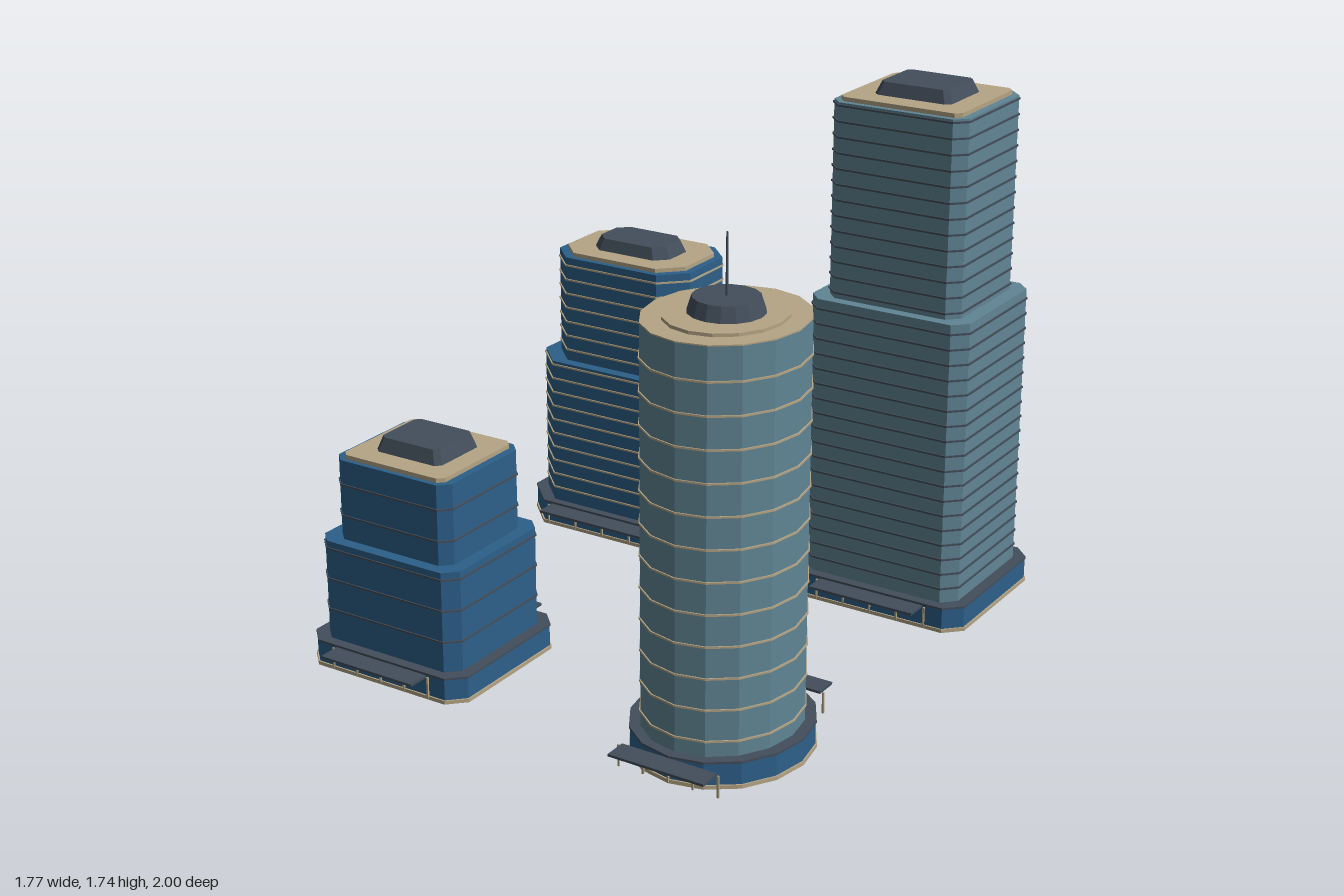
import * as THREE from 'three';

const mat = (name, color) => {
  const m = new THREE.MeshStandardMaterial({ color });
  m.name = name;
  return m;
};

// Outline of a rectangle with cut corners, given half sizes
function cutRect(w, d, c) {
  return [[w, -d + c], [w, d - c], [w - c, d], [-w + c, d], [-w, d - c], [-w, -d + c], [-w + c, -d], [w - c, -d]];
}
// Outline of a sixteen-sided oval
function oval(w, d) {
  return Array.from({ length: 16 }, (_, i) => {
    const a = (i / 16) * Math.PI * 2;
    return [w * Math.cos(a), d * Math.sin(a)];
  });
}

// Upright prism from y0 to y1, optionally tapering by an inset at the top
function prism(points, y0, y1, topScale = 1) {
  const shape = new THREE.Shape(points.map(([x, y]) => new THREE.Vector2(x, y)));
  const g = new THREE.ExtrudeGeometry(shape, { depth: y1 - y0, bevelEnabled: false });
  g.rotateX(-Math.PI / 2);
  const p = g.attributes.position;
  for (let i = 0; i < p.count; i++) {
    if (p.getY(i) > (y1 - y0) / 2) {
      p.setX(i, p.getX(i) * topScale);
      p.setZ(i, p.getZ(i) * topScale);
    }
  }
  g.translate(0, y0, 0);
  g.computeVertexNormals();
  return g;
}

export function createModel() {
  const blue = mat('blue glass', 0x2d5f8a);
  const teal = mat('teal glass', 0x618595);
  const tan = mat('tan stone', 0xb5a585);
  const slate = mat('dark slate', 0x434e5b);
  const model = new THREE.Group();
  model.name = 'towerBlock';

  function tower(o) {
    const group = new THREE.Group();
    group.name = o.name;
    group.position.set(o.x, 0, o.z);
    const outline = ([w, d, c = 0], grow = 0) =>
      o.round ? oval(w + grow, d + grow) : cutRect(w + grow, d + grow, c + grow * 0.6);
    const add = (name, geo, material) => {
      const m = new THREE.Mesh(geo, material);
      m.name = name;
      group.add(m);
      return m;
    };

    // Podium with base plate and roof
    const [pw, pd] = o.podium;
    add('basePlate', prism(outline(o.podium, 0.002), 0, 0.012), tan);
    add('podium', prism(outline(o.podium, -0.003), 0.012, 0.08), blue);
    add('podiumRoof', prism(outline(o.podium), 0.08, 0.087), slate);

    // Entrance canopies and door posts, front and back
    for (const s of [-1, 1]) {
      add('canopy', new THREE.BoxGeometry(o.canopy, 0.008, 0.075), slate)
        .position.set(0, 0.074, s * (pd + 0.033));
      for (let i = -2; i <= 2; i++) {
        add('doorPost', new THREE.BoxGeometry(0.006, 0.07, 0.006), tan)
          .position.set(i * o.canopy * 0.262, 0.04, s * (pd + 0.002));
      }
    }

    // Stacked tiers with floor bands
    let y0 = 0.085;
    let band = o.firstBand;
    for (const { size, top } of o.tiers) {
      add('tier', prism(outline(size), y0, top), o.glass);
      for (; band < top - 0.01; band += o.step) {
        if (band > y0 + 0.01) {
          add('floorBand', prism(outline(size, 0.004), band - 0.003, band + 0.003), o.bandMat);
        }
      }
      y0 = top;
    }

    // Roof slab and tapered plant room
    if (o.round) add('roofDisc', prism(outline(o.tiers[0].size), y0, y0 + 0.004), tan);
    add('roofSlab', prism(outline(o.roof), y0, y0 + 0.014), tan);
    add('plantRoom', prism(outline(o.plant), y0 + 0.014, o.top, 0.87), slate);
    if (o.mast) {
      add('mast', new THREE.CylinderGeometry(0.003, 0.004, o.mast - o.top, 8), slate)
        .position.y = (o.mast + o.top) / 2;
    }
    model.add(group);
  }

  tower({
    name: 'octagonalTower', x: -0.527, z: -0.651, glass: blue, bandMat: tan,
    podium: [0.359, 0.254, 0.11], canopy: 0.434, firstBand: 0.136, step: 0.0513,
    tiers: [{ size: [0.32, 0.226, 0.1], top: 0.61 }, { size: [0.268, 0.188, 0.083], top: 0.985 }],
    roof: [0.242, 0.167, 0.075], plant: [0.153, 0.094, 0.042], top: 1.04,
  });
  tower({
    name: 'tallTower', x: 0.556, z: -0.652, glass: teal, bandMat: slate,
    podium: [0.319, 0.284, 0.055], canopy: 0.38, firstBand: 0.136, step: 0.0513,
    tiers: [{ size: [0.282, 0.25, 0.045], top: 1.04 }, { size: [0.236, 0.213, 0.038], top: 1.685 }],
    roof: [0.212, 0.193, 0.02], plant: [0.135, 0.111, 0.018], top: 1.74,
  });
  tower({
    name: 'lowTower', x: -0.478, z: 0.625, glass: blue, bandMat: slate,
    podium: [0.301, 0.27, 0.053], canopy: 0.355, firstBand: 0.188, step: 0.104,
    tiers: [{ size: [0.264, 0.236, 0.042], top: 0.42 }, { size: [0.22, 0.197, 0.035], top: 0.685 }],
    roof: [0.194, 0.181, 0.02], plant: [0.126, 0.106, 0.018], top: 0.745,
  });
  tower({
    name: 'roundTower', x: 0.603, z: 0.626, glass: teal, bandMat: tan, round: true,
    podium: [0.274, 0.3], canopy: 0.324, firstBand: 0.136, step: 0.0997,
    tiers: [{ size: [0.238, 0.268], top: 1.335 }],
    roof: [0.178, 0.2], plant: [0.114, 0.114], top: 1.395, mast: 1.58,
  });
  return model;
}
